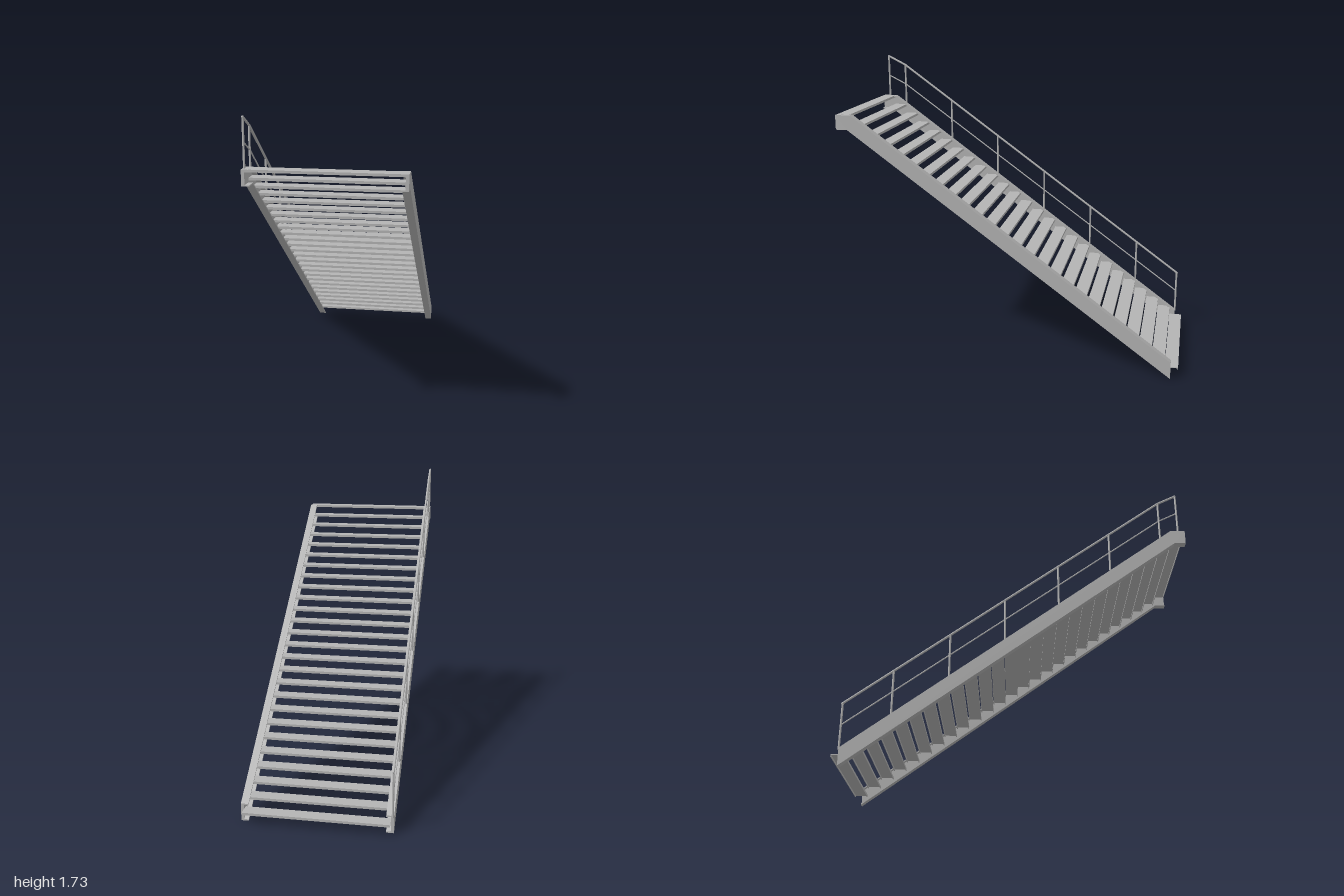
import * as THREE from 'three';

const STEPS = 26, RUN = 0.0769, RISE = 0.0559, FIRST_Y = 0.068;

export function createModel() {
  const model = new THREE.Group();
  model.name = 'staircase';
  const steel = new THREE.MeshStandardMaterial({ color: 0xb4b4b4 });
  steel.name = 'grey steel';

  const add = (parent, name, geometry) => {
    const mesh = new THREE.Mesh(geometry, steel);
    mesh.name = name;
    parent.add(mesh);
    return mesh;
  };
  const addBox = (parent, name, w, h, d, x, y, z) =>
    add(parent, name, new THREE.BoxGeometry(w, h, d)).position.set(x, y, z);

  // Points [z, y] along the stringer; f runs from its lower edge (0) to its upper edge (1)
  const edge = (f) => [
    [-0.957, 0.1 * f],
    [0.933 - 0.02 * f, 1.38 + 0.085 * f],
    [1, 1.38 + 0.085 * f],
  ];
  // Strip of the stringer side between two edges, extruded from x0 to x1
  const strip = (f0, f1, x0, x1) => {
    const points = [...edge(f0), ...edge(f1).reverse()].map(([z, y]) => new THREE.Vector2(z, y));
    const geometry = new THREE.ExtrudeGeometry(new THREE.Shape(points), { depth: x1 - x0, bevelEnabled: false });
    return geometry.rotateY(-Math.PI / 2).translate(x1, 0, 0);
  };

  // Channel stringers: web outside, flanges turned inwards
  for (const side of [-1, 1]) {
    const stringer = new THREE.Group();
    stringer.name = side > 0 ? 'leftStringer' : 'rightStringer';
    const span = (a, b) => (side > 0 ? [a, b] : [-b, -a]);
    add(stringer, 'web', strip(0, 1, ...span(0.4, 0.417)));
    add(stringer, 'bottomFlange', strip(0, 0.08, ...span(0.375, 0.4)));
    add(stringer, 'topFlange', strip(0.92, 1, ...span(0.375, 0.4)));
    model.add(stringer);
  }

  // Treads: thin plates with a turned-down lip at both long edges
  const treads = new THREE.Group();
  treads.name = 'treads';
  for (let i = 0; i < STEPS; i++) {
    const tread = new THREE.Group();
    tread.name = 'tread';
    tread.position.set(0, FIRST_Y + i * RISE, -1 + (i + 0.5) * RUN);
    addBox(tread, 'plate', 0.802, 0.005, 0.0765, 0, -0.0025, 0);
    for (const s of [-1, 1]) addBox(tread, 'lip', 0.802, 0.009, 0.004, 0, -0.0095, s * 0.03625);
    treads.add(tread);
  }
  model.add(treads);

  // Railing on the right side
  const railing = new THREE.Group();
  railing.name = 'railing';
  const X = -0.41;
  const bar = (name, a, b, radius) => {
    const from = new THREE.Vector3(X, a[1], a[0]), to = new THREE.Vector3(X, b[1], b[0]);
    const dir = to.clone().sub(from);
    const mesh = add(railing, name, new THREE.CylinderGeometry(radius, radius, dir.length(), 12));
    mesh.position.copy(from).add(to).multiplyScalar(0.5);
    mesh.quaternion.setFromUnitVectors(new THREE.Vector3(0, 1, 0), dir.normalize());
  };

  const TOP = [[-0.96, 0.353], [0.85, 1.665], [0.96, 1.72]];
  const railY = (z) => {
    const [a, b] = z <= 0.85 ? [TOP[0], TOP[1]] : [TOP[1], TOP[2]];
    return a[1] + (b[1] - a[1]) * (z - a[0]) / (b[0] - a[0]);
  };
  // Posts stand on the upper edge of the stringer
  for (const z of [-0.957, -0.69, -0.383, -0.075, 0.235, 0.542, 0.85, 0.96]) {
    const foot = Math.min(1.46, 0.09 + 0.73 * (z + 0.957));
    bar('post', [z, foot], [z, railY(z)], 0.006);
  }
  // Handrail and middle rail, with round joints at the corners
  for (const [name, drop, radius] of [['handrail', 0, 0.0065], ['middleRail', 0.125, 0.004]]) {
    const points = TOP.map(([z, y]) => [z, y - drop]);
    bar(name, points[0], points[1], radius);
    bar(name, points[1], points[2], radius);
    for (const [z, y] of points) add(railing, name + 'Joint', new THREE.SphereGeometry(radius, 12, 8)).position.set(X, y, z);
  }
  model.add(railing);

  return model;
}
